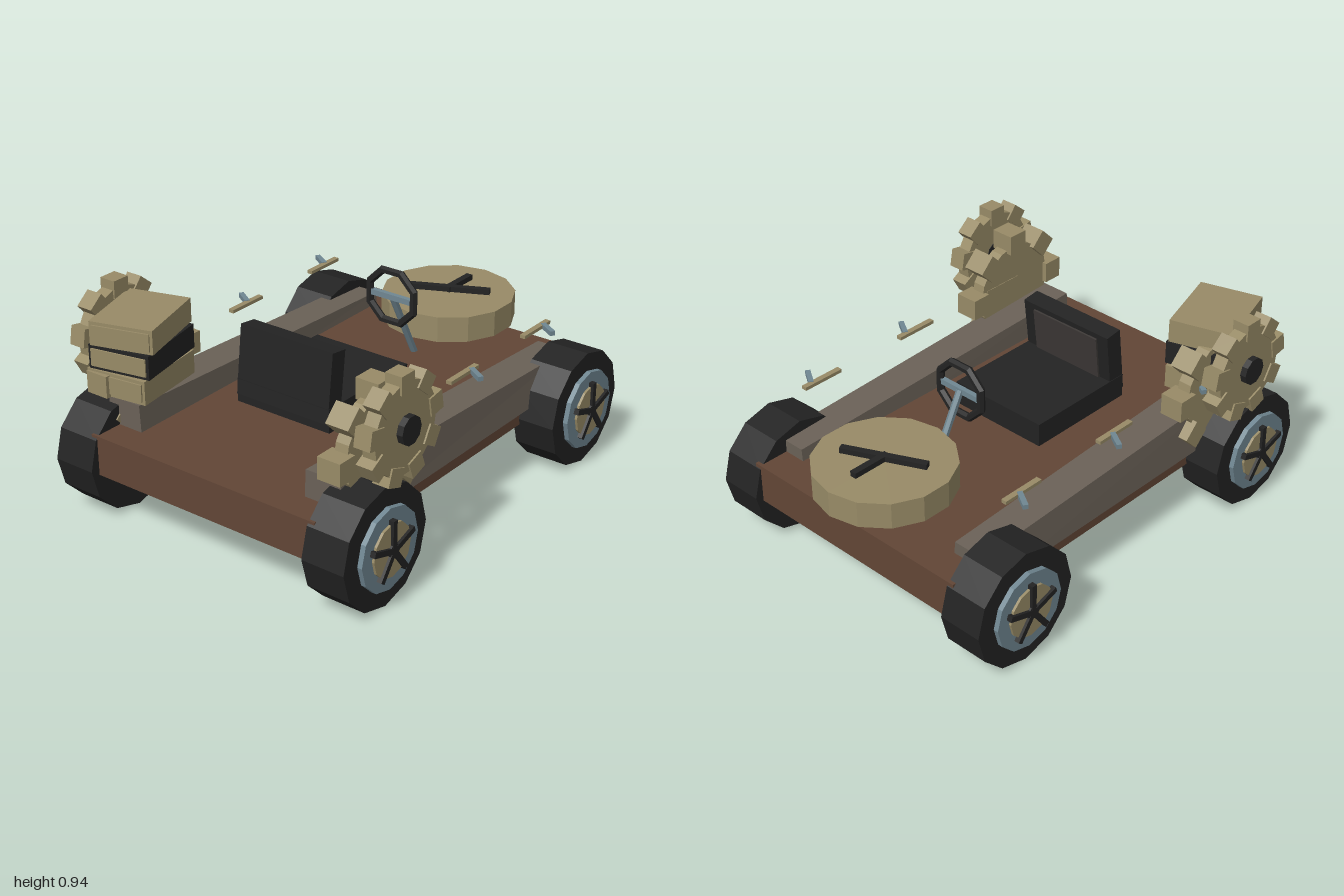
import * as THREE from 'three';

const mat = (name, color) => {
  const m = new THREE.MeshStandardMaterial({ color });
  m.name = name;
  return m;
};

export function createModel() {
  const brown = mat('brown wood', 0x624636);
  const grey = mat('weathered grey', 0x6a6157);
  const black = mat('black', 0x232323);
  const tan = mat('tan', 0x988b67);
  const blue = mat('steel blue', 0x708792);
  const panelGrey = mat('dark panel grey', 0x3c3836);

  const model = new THREE.Group();
  model.name = 'buggy';

  // Faceted mesh helper
  const add = (parent, name, geometry, material, x = 0, y = 0, z = 0) => {
    const flat = geometry.index ? geometry.toNonIndexed() : geometry;
    flat.computeVertexNormals();
    const mesh = new THREE.Mesh(flat, material);
    mesh.name = name;
    mesh.position.set(x, y, z);
    parent.add(mesh);
    return mesh;
  };
  const group = (name, x, y, z) => {
    const g = new THREE.Group();
    g.name = name;
    g.position.set(x, y, z);
    model.add(g);
    return g;
  };
  const box = (w, h, d) => new THREE.BoxGeometry(w, h, d);
  // Disc whose axis runs along x
  const disc = (r, w, sides) => new THREE.CylinderGeometry(r, r, w, sides).rotateZ(Math.PI / 2);

  // Floor
  add(model, 'floor', box(1.13, 0.175, 1.86), brown, 0, 0.3175, 0.03);

  // Tapered side rails, higher and wider at +z
  for (const side of [-1, 1]) {
    const g = box(1, 1, 1);
    const p = g.attributes.position;
    for (let i = 0; i < p.count; i++) {
      const front = p.getZ(i) > 0, top = p.getY(i) > 0, outer = p.getX(i) * side > 0;
      const x = outer ? (top ? 0.585 : 0.6) : (front ? 0.412 : 0.428) + (top ? 0.01 : 0);
      p.setXYZ(i, x * side, top ? (front ? 0.523 : 0.46) : 0.31, front ? 0.83 : -0.76);
    }
    add(model, 'sideRail', g, grey);
  }

  // Wheels with rim, hub and five spokes
  for (const side of [-1, 1]) for (const z of [0.745, -0.68]) {
    const wheel = group('wheel', side * 0.633, 0.258, z);
    add(wheel, 'tire', disc(0.257, 0.195, 12), black);
    add(wheel, 'rim', disc(0.175, 0.03, 12), blue, side * 0.104);
    add(wheel, 'hub', disc(0.115, 0.03, 12), tan, side * 0.115);
    add(wheel, 'hubCentre', disc(0.03, 0.03, 10), black, side * 0.125);
    for (let i = 0; i < 5; i++) {
      const spoke = box(0.03, 0.13, 0.024).translate(0, 0.065, 0).rotateX(i * Math.PI * 0.4);
      add(wheel, 'spoke', spoke, black, side * 0.127);
    }
  }

  // Seat with a slightly tilted backrest
  add(model, 'seatCushion', box(0.47, 0.105, 0.52), black, 0, 0.5025, 0.19);
  const back = group('backrest', 0, 0.632, 0.4);
  back.rotation.x = -0.12;
  add(back, 'backrestBody', box(0.465, 0.3, 0.08), black);
  add(back, 'backrestPanel', box(0.35, 0.21, 0.009), panelGrey, 0, 0.02, -0.044);

  // Steering wheel and column
  const ring = new THREE.TorusGeometry(0.122, 0.018, 6, 8).rotateZ(Math.PI / 8);
  add(model, 'steeringWheel', ring, black, 0, 0.72, -0.28);
  add(model, 'steeringBar', box(0.23, 0.025, 0.022), blue, 0, 0.72, -0.28);
  const column = new THREE.CylinderGeometry(0.016, 0.016, 0.375, 6);
  add(model, 'steeringColumn', column, blue, 0, 0.555, -0.37).rotation.x = 0.48;

  // Round dial with two hands
  const dial = new THREE.CylinderGeometry(0.295, 0.295, 0.115, 14).rotateY(Math.PI);
  add(model, 'dial', dial, tan, 0, 0.543, -0.705);
  add(model, 'shortHand', box(0.03, 0.025, 0.18), black, 0, 0.612, -0.78);
  add(model, 'longHand', box(0.365, 0.025, 0.03), black, 0, 0.612, -0.707).rotation.y = 0.44;

  // Small handles along both sides
  for (const side of [-1, 1]) for (const z of [0.54, 0.01, -0.525]) {
    add(model, 'handleBar', box(0.025, 0.015, 0.195), tan, side * 0.562, 0.637, z);
    const pin = box(0.09, 0.02, 0.022);
    add(model, 'handlePin', pin, blue, side * 0.605, 0.637, z - 0.035 + side * 0.005).rotation.y = -0.56;
  }

  // Gears: a narrow disc with wider block teeth
  const gear = (x, y, z, bodyR, bodyW, teeth, toothR, w, h, d) => {
    const g = group('gear', x, y, z);
    add(g, 'gearBody', disc(bodyR, bodyW, teeth * 2), tan);
    for (let i = 0; i < teeth; i++) {
      const tooth = box(w, h, d).translate(0, toothR, 0).rotateX((i / teeth) * Math.PI * 2);
      add(g, 'tooth', tooth, tan);
    }
    return g;
  };
  for (const side of [-1, 1]) {
    gear(side * 0.582, 0.595, 0.62, 0.21, 0.06, 8, 0.232, 0.105, 0.09, 0.095);
    const outer = gear(side * 0.71, 0.715, 0.64, 0.19, 0.06, 9, 0.187, 0.075, 0.076, 0.08);
    add(outer, 'gearHub', disc(0.06, 0.09, 10), black, side * 0.012);
  }

  // Stack of three twisted books
  const books = [
    [-0.525, 0.6, 0.7, 0.14, tan],
    [-0.51, 0.715, 0.705, 0.2, black],
    [-0.505, 0.825, 0.71, 0.29, tan],
  ];
  for (const [x, y, z, turn, cover] of books) {
    const book = group('book', x, y, z);
    book.rotation.y = turn;
    add(book, 'cover', box(0.275, 0.103, 0.345), cover);
    add(book, 'pages', box(0.25, 0.075, 0.009), tan, 0, 0, 0.175);
  }

  return model;
}
